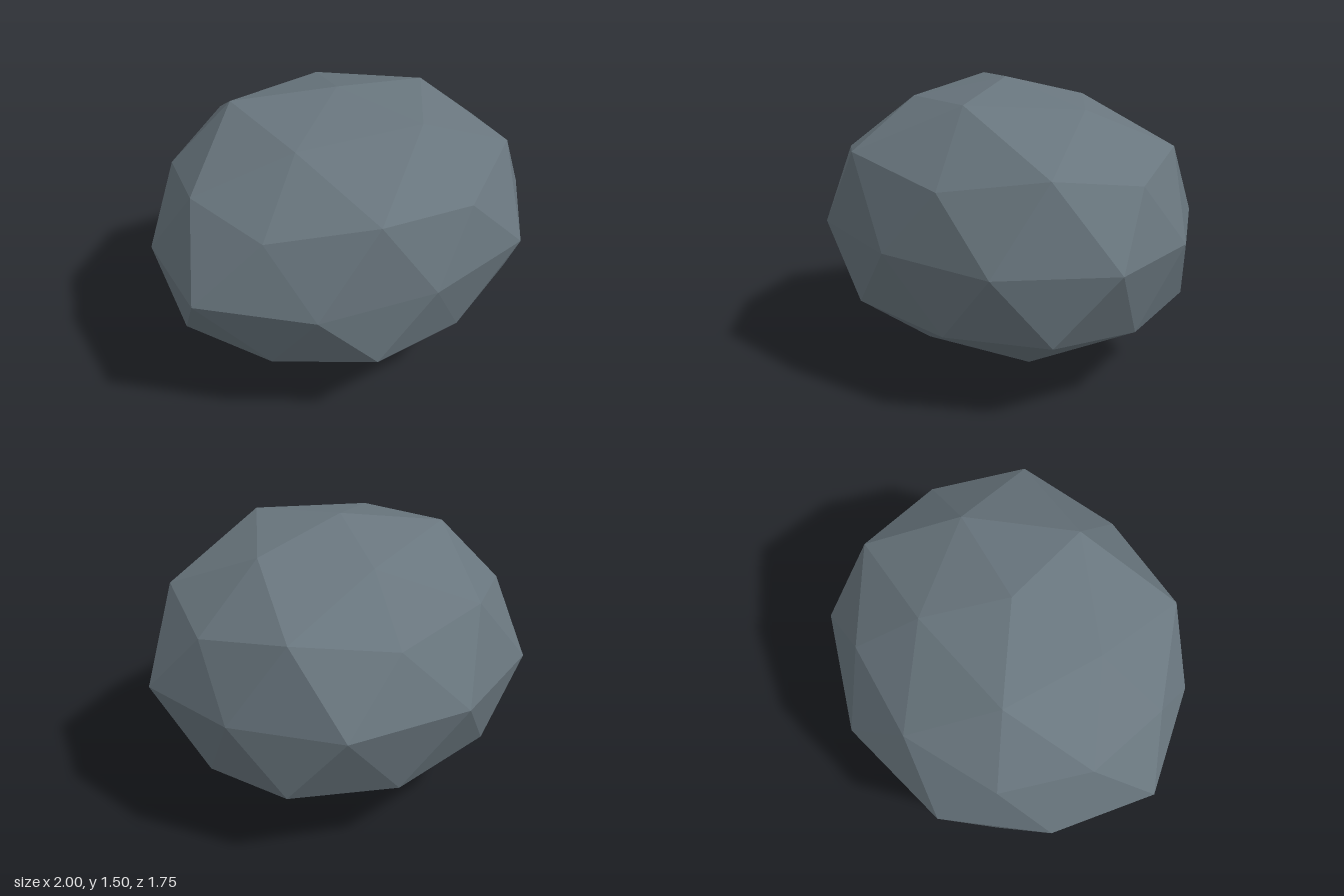
import * as THREE from 'three';

// Squashed ball radii and centre
const SIZE = [1, 0.75, 0.87];
const CENTRE = [0, 0.77, 0.04];

// One level ring of points: ring radius, height, first angle, then a bulge for each point
function ring(radius, height, startDeg, bulges) {
  const points = bulges.map((b, i) => {
    const a = THREE.MathUtils.degToRad(startDeg + (i * 360) / bulges.length);
    return [
      CENTRE[0] + SIZE[0] * b * radius * Math.cos(a),
      CENTRE[1] + SIZE[1] * b * height,
      CENTRE[2] + SIZE[2] * b * radius * Math.sin(a),
    ];
  });
  return (i) => points[i % points.length];
}

function rockGeometry() {
  // Points of a once-divided icosahedron, from top to bottom
  const top = ring(0, 1, 0, [0.967])(0);
  const crown = ring(0.5257, 0.8507, 0, [0.99, 1.05, 0.955, 1.03, 0.945]);
  const upperMid = ring(0.8507, 0.5257, 36, [1.05, 1.08, 0.97, 1.01, 1.04]);
  const upper = ring(0.8944, 0.4472, 0, [0.984, 0.985, 0.975, 0.965, 0.973]);
  const equator = ring(1, 0, 18,
    [1.05, 1.04, 0.954, 1.005, 1.05, 0.98, 1.035, 1.052, 1.064, 0.99]);
  const lower = ring(0.8944, -0.4472, 36, [1.06, 1.015, 1.01, 1.02, 1.07]);
  const lowerMid = ring(0.8507, -0.5257, 72, [0.985, 0.97, 1.04, 1.035, 1.01]);
  const base = ring(0.5257, -0.8507, 36, [0.965, 0.95, 0.94, 1.005, 0.98]);
  const bottom = ring(0, -1, 0, [1.0267])(0);

  // Each large triangle a, b, c is split at its edge points ab, bc, ca
  const positions = [];
  const split = (a, b, c, ab, bc, ca) => {
    for (const p of [a, ab, ca, ab, b, bc, ca, bc, c, ab, bc, ca]) positions.push(...p);
  };
  for (let k = 0; k < 5; k++) {
    const e = 2 * k;
    split(top, upper(k + 1), upper(k), crown(k + 1), upperMid(k), crown(k));
    split(upper(k), upper(k + 1), lower(k), upperMid(k), equator(e + 1), equator(e));
    split(lower(k), upper(k + 1), lower(k + 1), equator(e + 1), equator(e + 2), lowerMid(k));
    split(lower(k), lower(k + 1), bottom, lowerMid(k), base(k + 1), base(k));
  }
  const geometry = new THREE.BufferGeometry();
  geometry.setAttribute('position', new THREE.Float32BufferAttribute(positions, 3));
  geometry.computeVertexNormals(); // unshared corners give flat facets
  return geometry;
}

export function createModel() {
  const stone = new THREE.MeshStandardMaterial({ color: 0x69767e });
  stone.name = 'slateStone';
  stone.flatShading = true;

  const rock = new THREE.Mesh(rockGeometry(), stone);
  rock.name = 'rock';

  const model = new THREE.Group();
  model.name = 'boulder';
  model.add(rock);
  return model;
}
